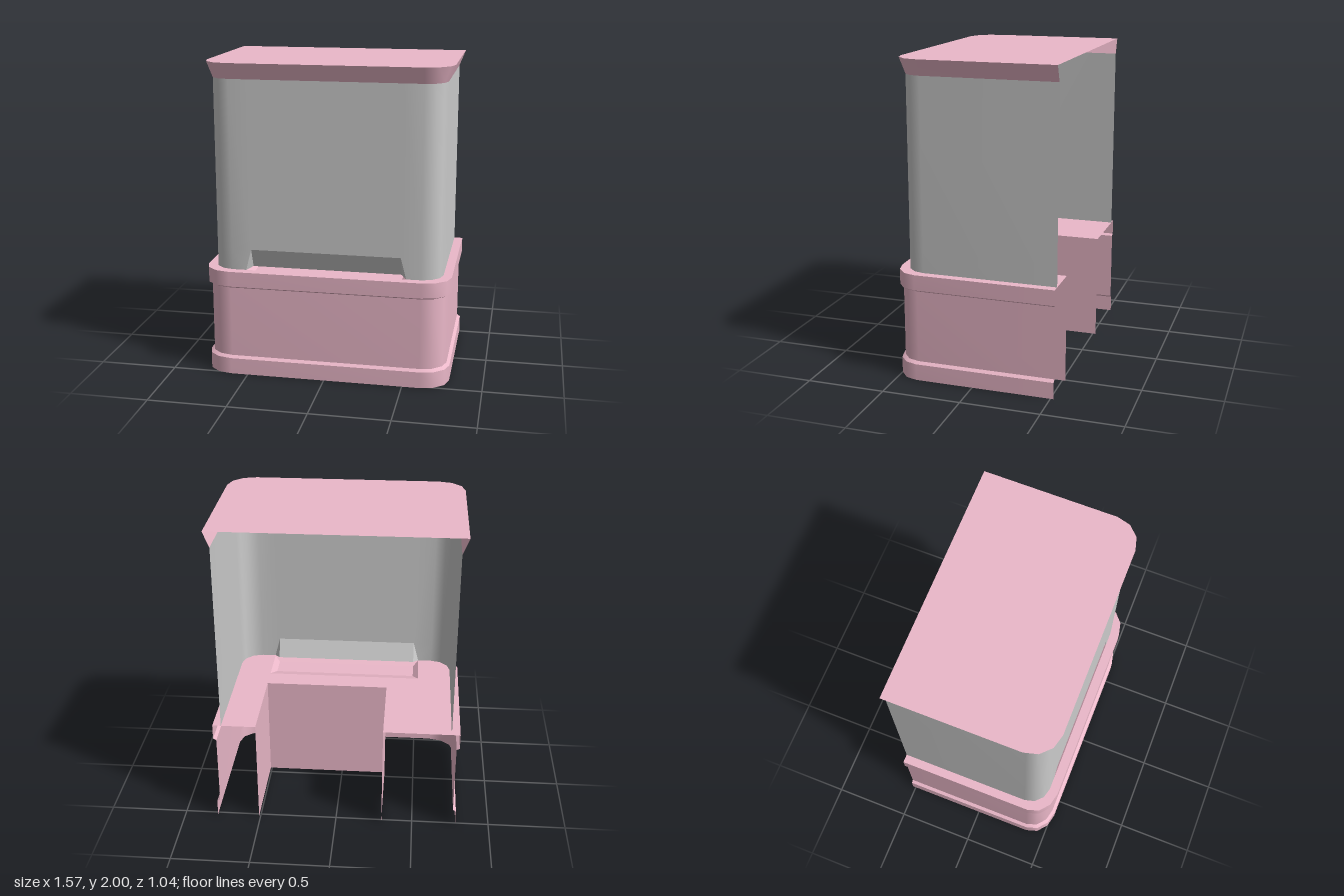
import * as THREE from 'three';
import { mergeGeometries, mergeVertices } from 'three/addons/utils/BufferGeometryUtils.js';

const BACK = -0.52, COUNTER = 0.69, WALL_TOP = 1.9;
const pink = new THREE.MeshStandardMaterial({ color: 0xebb8c9, side: THREE.DoubleSide });
const grey = new THREE.MeshStandardMaterial({ color: 0xcccccc, side: THREE.DoubleSide });
const V = (x, y, z) => new THREE.Vector3(x, y, z);

// Half of the U-shaped plan: left back edge, rounded front corner
function halfPlan(w, front, rx, rz) {
  const pts = [[w, BACK]];
  for (let i = 0; i <= 3; i++) {
    const a = (i / 3) * Math.PI / 2;
    pts.push([w - rx + rx * Math.cos(a), front - rz + rz * Math.sin(a)]);
  }
  return pts;
}
const mirrored = (half) => [...half, ...half.map(([x, z]) => [-x, z]).reverse()];
const atHeight = (plan, y) => plan.map(([x, z]) => V(x, y, z));

// Strip of quads between two equally long paths
function loft(lower, upper) {
  const n = lower.length, index = [];
  for (let i = 0; i < n - 1; i++) index.push(i, n + i, n + i + 1, i, n + i + 1, i + 1);
  const g = new THREE.BufferGeometry().setFromPoints([...lower, ...upper]);
  g.setIndex(index);
  g.computeVertexNormals();
  return g;
}

// Flat horizontal plate from x/z corners, with an optional hole
function plate(corners, y, hole) {
  const to2 = ([x, z]) => new THREE.Vector2(x, -z);
  const shape = new THREE.Shape(corners.map(to2));
  if (hole) shape.holes.push(new THREE.Path(hole.map(to2)));
  return new THREE.ShapeGeometry(shape).rotateX(-Math.PI / 2).translate(0, y, 0);
}

export function createModel() {
  const group = new THREE.Group();
  const add = (name, geometry, material) => {
    const mesh = new THREE.Mesh(geometry, material);
    mesh.name = name;
    group.add(mesh);
  };

  // Base wall with a plinth and a top rim
  const rim = mirrored(halfPlan(0.785, 0.52, 0.175, 0.15));
  const body = mirrored(halfPlan(0.765, 0.5, 0.16, 0.14));
  const levels = [[rim, 0], [rim, 0.105], [body, 0.12], [body, 0.58], [rim, 0.592], [rim, COUNTER]];
  const bands = levels.slice(1).map(([plan, y], i) =>
    loft(atHeight(levels[i][0], levels[i][1]), atHeight(plan, y)));
  add('baseWall', mergeGeometries(bands), pink);

  // Counter top around the standing space, with a hole for the tray
  const space = [[-0.3, BACK], [-0.3, 0.05], [0.51, 0.05], [0.51, BACK]];
  const trayTop = [[0.51, 0.19], [0.51, 0.46], [-0.51, 0.46], [-0.51, 0.19]];
  const trayFloor = [[0.475, 0.28], [0.475, 0.42], [-0.475, 0.42], [-0.475, 0.28]];
  add('counterTop', plate([...rim, ...space], COUNTER, trayTop), pink);

  // Flat panels lining the standing space
  const panels = [0, 1, 2].map((i) => {
    const edge = [space[i], space[i + 1]];
    return loft(atHeight(edge, 0), atHeight(edge, COUNTER));
  });
  add('innerPanels', mergeGeometries(panels), pink);

  // Shallow tray sunk into the counter
  const traySides = trayTop.map((p, i) => {
    const j = (i + 1) % 4;
    return loft(atHeight([trayFloor[i], trayFloor[j]], 0.66), atHeight([p, trayTop[j]], COUNTER));
  });
  add('traySides', mergeGeometries(traySides), pink);
  add('trayFloor', plate(trayFloor, 0.66), pink);

  // Upper wall with a tapered opening at the foot of its front
  const Z = 0.46, HOOD = 0.825;
  const half = halfPlan(0.73, Z, 0.13, 0.13);
  const upperHalf = [...half, [0.475, Z]], lowerHalf = [...half, [0.51, Z]];
  const flip = (plan) => plan.map(([x, z]) => [-x, z]).reverse();
  const wall = mergeGeometries([
    loft(atHeight(mirrored(upperHalf), HOOD), atHeight(mirrored(upperHalf), WALL_TOP)),
    loft(atHeight(lowerHalf, COUNTER), atHeight(upperHalf, HOOD)),
    loft(atHeight(flip(lowerHalf), COUNTER), atHeight(flip(upperHalf), HOOD)),
  ]);
  wall.deleteAttribute('normal');
  const smoothWall = mergeVertices(wall);
  smoothWall.computeVertexNormals();
  add('upperWall', smoothWall, grey);

  // Hood sloping inwards behind the opening, with triangular cheeks
  const hoodParts = [loft(
    [V(0.475, 0.702, 0.41), V(-0.475, 0.702, 0.41)],
    [V(0.475, HOOD, Z), V(-0.475, HOOD, Z)])];
  for (const s of [1, -1]) {
    const cheek = [V(s * 0.51, COUNTER, Z), V(s * 0.475, HOOD, Z), V(s * 0.475, 0.702, 0.41)];
    if (s < 0) cheek.reverse();
    const g = new THREE.BufferGeometry().setFromPoints(cheek);
    g.setIndex([0, 1, 2]);
    g.computeVertexNormals();
    hoodParts.push(g);
  }
  add('hood', mergeGeometries(hoodParts), grey);

  // Flared roof edge and flat roof
  const roof = mirrored(halfPlan(0.77, 0.497, 0.17, 0.17));
  add('roofEdge', loft(atHeight(mirrored(half), WALL_TOP), atHeight(roof, 2)), pink);
  add('roofTop', plate(roof, 2), pink);

  return group;
}
